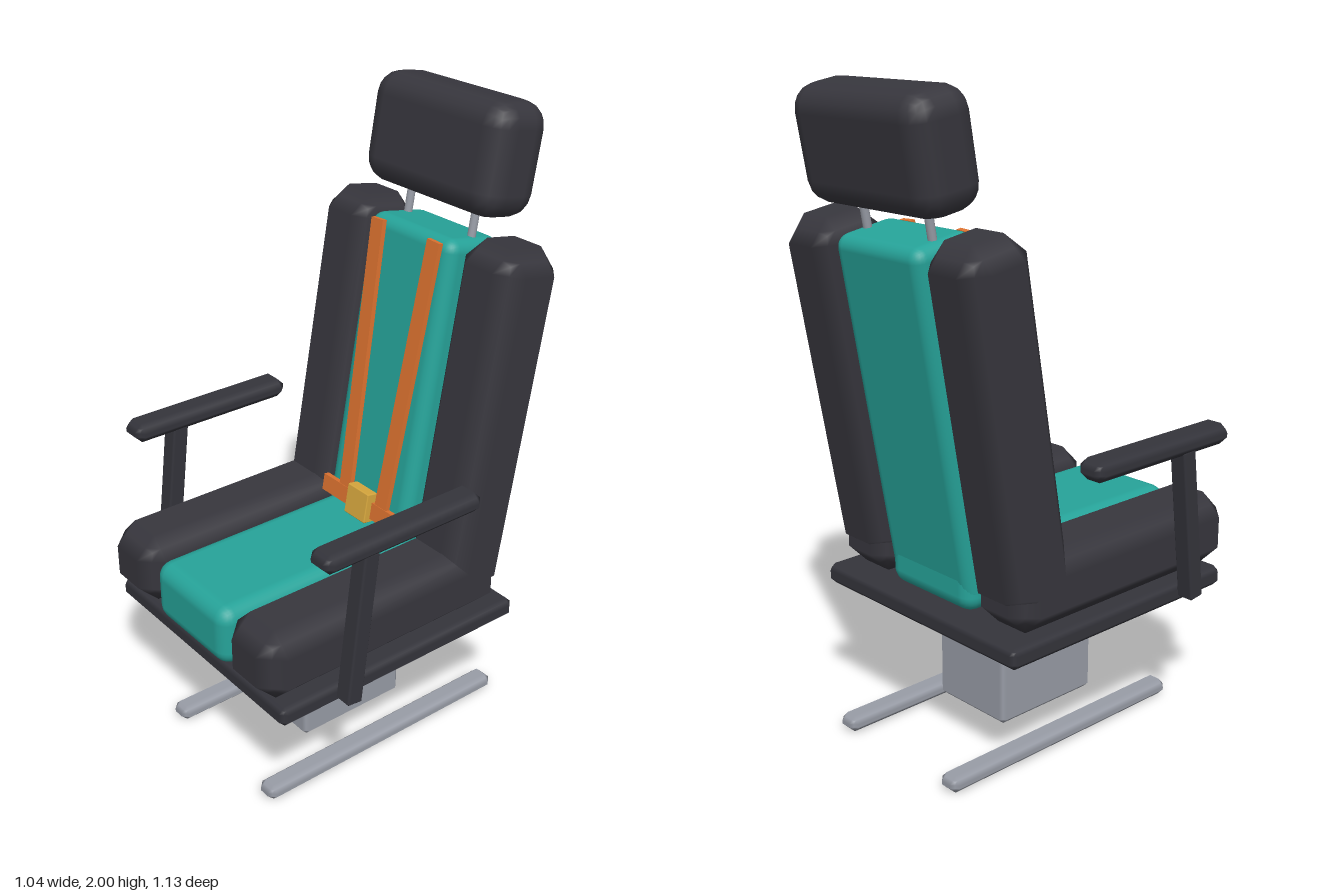
import * as THREE from 'three';
import { RoundedBoxGeometry } from 'three/addons/geometries/RoundedBoxGeometry.js';

const material = (name, color) => {
  const m = new THREE.MeshStandardMaterial({ color });
  m.name = name;
  return m;
};

// Box whose edges are cut by a single straight bevel, with soft normals
function bevelBox(w, h, d, bevel) {
  const g = new RoundedBoxGeometry(w, h, d, 1, bevel);
  const p = g.attributes.position, n = g.attributes.normal;
  const pos = new THREE.Vector3(), dir = new THREE.Vector3();
  for (let i = 0; i < p.count; i++) {
    pos.fromBufferAttribute(p, i);
    dir.fromBufferAttribute(n, i);
    pos.addScaledVector(dir, bevel * (1 / dir.manhattanLength() - 1));
    p.setXYZ(i, pos.x, pos.y, pos.z);
  }
  return g;
}

export function createModel() {
  const model = new THREE.Group();
  model.name = 'safetySeat';

  const black = material('black upholstery', 0x37363d);
  const frame = material('dark frame', 0x34343b);
  const teal = material('teal fabric', 0x26a399);
  const orange = material('orange webbing', 0xdc7230);
  const gold = material('gold buckle', 0xd8a83e);
  const grey = material('grey metal', 0x989ca6);

  const add = (parent, name, geometry, mat, x, y, z) => {
    const mesh = new THREE.Mesh(geometry, mat);
    mesh.name = name;
    mesh.position.set(x, y, z);
    parent.add(mesh);
    return mesh;
  };

  // Base: pedestal and seat plate
  add(model, 'pedestal', bevelBox(0.3, 0.37, 0.39, 0.017), grey, 0, 0.245, 0.04);
  add(model, 'seatPlate', bevelBox(0.865, 0.067, 0.9, 0.02), frame, 0, 0.453, 0.075);

  // Seat cushion
  add(model, 'seatCushion', new RoundedBoxGeometry(0.37, 0.197, 0.87, 3, 0.05), teal, 0, 0.586, 0.115);

  // Backrest group: local y runs up the back, local z = 0 is its front face
  const back = new THREE.Group();
  back.name = 'backrest';
  back.position.set(0, 0.73, -0.117);
  back.rotation.x = THREE.MathUtils.degToRad(-10);
  model.add(back);

  add(back, 'backCushion', new RoundedBoxGeometry(0.37, 1.08, 0.217, 3, 0.04), teal, 0, 0.356, -0.116);
  add(back, 'headrest', new RoundedBoxGeometry(0.565, 0.335, 0.215, 2, 0.075), black, 0, 1.139, -0.127);

  // Harness
  add(back, 'lapBelt', new THREE.BoxGeometry(0.378, 0.055, 0.018), orange, 0, -0.008, 0.002);
  add(back, 'buckle', bevelBox(0.1, 0.1, 0.04, 0.004), gold, 0, 0, 0.012);

  for (const side of [-1, 1]) {
    const label = side > 0 ? 'left' : 'right';

    // Runner on the floor
    add(model, label + 'Rail', bevelBox(0.078, 0.054, 0.925, 0.022), grey, side * 0.24, 0.027, 0);

    // Side bolsters of the seat and back
    add(model, label + 'SeatBolster', bevelBox(0.246, 0.235, 0.902, 0.068), black, side * 0.309, 0.603, 0.116);
    add(back, label + 'BackBolster', bevelBox(0.246, 1.086, 0.25, 0.07), black, side * 0.309, 0.383, -0.125);

    // Armrest with its leaning support
    add(model, label + 'ArmPad', bevelBox(0.1, 0.064, 0.57, 0.026), frame, side * 0.47, 0.962, 0.148);
    const post = add(model, label + 'ArmPost', bevelBox(0.06, 0.49, 0.056, 0.008), frame, side * 0.473, 0.7, 0.292);
    post.rotation.x = THREE.MathUtils.degToRad(-7);

    // Headrest post
    add(back, label + 'HeadrestPost', new THREE.CylinderGeometry(0.013, 0.013, 0.22, 12), grey, side * 0.14, 0.95, -0.127);

    // Shoulder strap, spreading towards the top
    const strap = add(back, label + 'ShoulderStrap', new THREE.BoxGeometry(0.052, 0.9, 0.016), orange, side * 0.105, 0.433, 0.001);
    strap.rotation.z = -side * 0.043;
  }

  return model;
}
